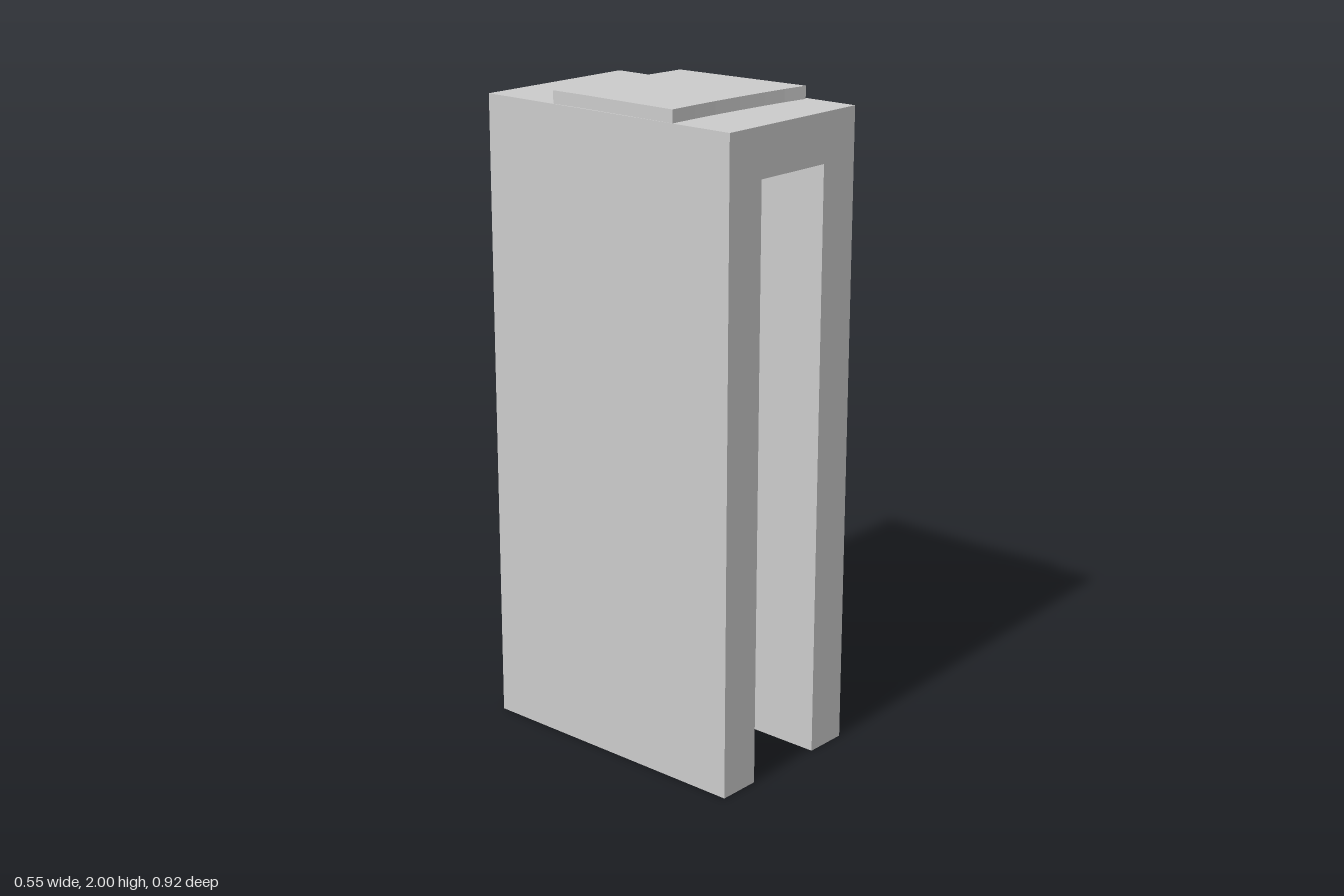
import * as THREE from 'three';

const shapeOf = (pts) => new THREE.Shape(pts.map(([x, y]) => new THREE.Vector2(x, y)));

export function createModel() {
  const group = new THREE.Group();
  const material = new THREE.MeshStandardMaterial({ color: 0xcccccc, flatShading: true });

  const add = (name, geometry) => {
    const mesh = new THREE.Mesh(geometry, material);
    mesh.name = name;
    group.add(mesh);
  };

  // Upside-down U: two tall walls joined by a thick roof
  const archGeometry = new THREE.ExtrudeGeometry(shapeOf([
    [-0.277, 0], [-0.14, 0], [-0.14, 1.815], [0.137, 1.815],
    [0.137, 0], [0.276, 0], [0.276, 1.962], [-0.277, 1.962],
  ]), { depth: 1, bevelEnabled: false });

  // The front and back faces draw slightly together towards +x
  const pos = archGeometry.attributes.position;
  for (let i = 0; i < pos.count; i++) {
    const t = (pos.getX(i) + 0.277) / 0.553;
    pos.setZ(i, pos.getZ(i) > 0.5 ? 0.458 - 0.005 * t : -0.461 + 0.004 * t);
  }
  archGeometry.computeVertexNormals();
  add('arch', archGeometry);

  // Thin, slightly skewed slab on the roof, outlined as [x, z]
  const outline = [
    [-0.274, -0.201], [-0.19, -0.199], [-0.1, -0.195], [0.237, -0.173],
    [0.263, 0.285], [0.18, 0.274], [0.1, 0.267], [0, 0.26],
    [-0.1, 0.255], [-0.18, 0.253], [-0.275, 0.253], [-0.271, -0.09],
  ];
  const slabGeometry = new THREE.ExtrudeGeometry(
    shapeOf(outline.map(([x, z]) => [x, -z])),
    { depth: 0.038, bevelEnabled: false },
  );
  slabGeometry.rotateX(-Math.PI / 2).translate(0, 1.962, 0);
  add('roofSlab', slabGeometry);

  return group;
}
